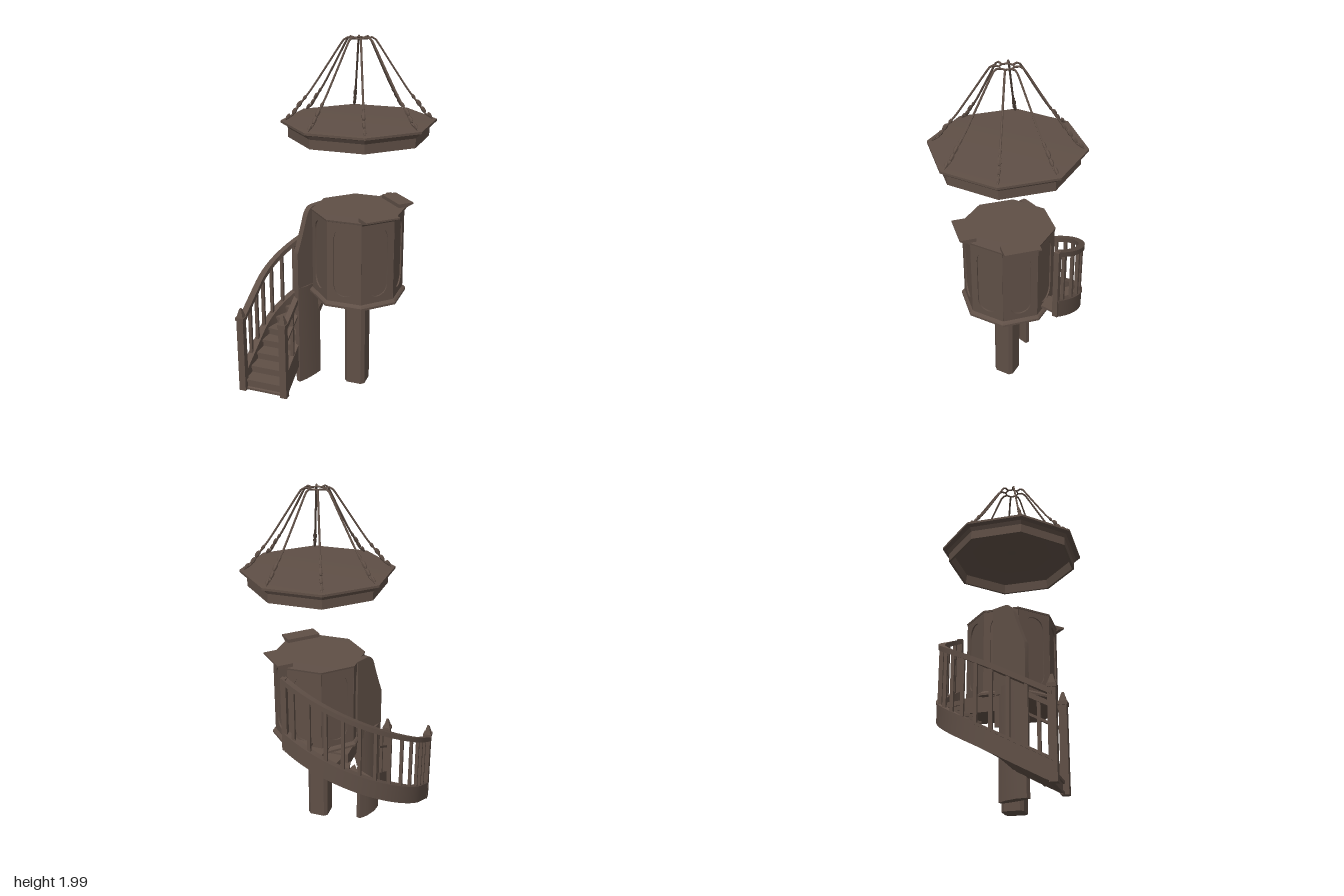
import * as THREE from 'three';
import { toCreasedNormals } from 'three/addons/utils/BufferGeometryUtils.js';

export function createModel() {
  const model = new THREE.Group();
  const wood = new THREE.MeshStandardMaterial({ color: 0x5f4f46 });
  wood.name = 'dark oak';
  const CX = 0.107; // axis of pulpit and canopy

  function add(name, geo, parent = model) {
    const mesh = new THREE.Mesh(toCreasedNormals(geo, 0.5), wood);
    mesh.name = name;
    parent.add(mesh);
    return mesh;
  }
  function box(name, x0, x1, y0, y1, z0, z1) {
    const g = new THREE.BoxGeometry(x1 - x0, y1 - y0, z1 - z0);
    return add(name, g.translate((x0 + x1) / 2, (y0 + y1) / 2, (z0 + z1) / 2));
  }
  const polygon = (points) => new THREE.Shape(points.map((p) => new THREE.Vector2(...p)));
  // Eight-sided turned form; profile gives [distance to flat, y]
  function octagon(name, profile) {
    const pts = profile.map(([a, y]) => new THREE.Vector2(a / Math.cos(Math.PI / 8), y));
    return add(name, new THREE.LatheGeometry(pts, 8, Math.PI / 8).translate(CX, 0, 0));
  }
  // Solid skin through four-cornered cross-sections
  function sweep(name, sections) {
    const pos = [];
    const quad = (a, b, c, d) => [a, b, c, a, c, d].forEach((p) => pos.push(...p));
    for (let i = 0; i < sections.length - 1; i++) {
      const a = sections[i], b = sections[i + 1];
      for (let k = 0; k < 4; k++) quad(a[k], b[k], b[(k + 1) % 4], a[(k + 1) % 4]);
    }
    const s = sections[0], e = sections[sections.length - 1];
    quad(s[0], s[1], s[2], s[3]);
    quad(e[3], e[2], e[1], e[0]);
    const g = new THREE.BufferGeometry();
    g.setAttribute('position', new THREE.Float32BufferAttribute(pos, 3));
    return add(name, g);
  }

  // ---- Canopy ----
  octagon('canopy', [[0, 1.565], [0.3, 1.55], [0.328, 1.535], [0.335, 1.48], [0.348, 1.48], [0.348, 1.53],
    [0.36, 1.55], [0.383, 1.558], [0.383, 1.57], [0.36, 1.572], [0, 1.572]]);
  const crown = new THREE.Group();
  crown.name = 'canopyCrown';
  crown.position.x = CX;
  model.add(crown);
  const ribPath = new THREE.CatmullRomCurve3([[0.39, 1.574], [0.35, 1.6], [0.315, 1.65], [0.25, 1.735],
    [0.16, 1.87], [0.078, 1.992], [0.04, 1.994]].map(([r, y]) => new THREE.Vector3(r, y, 0)), false, 'catmullrom', 0.3);
  for (let i = 0; i < 8; i++) {
    const rib = new THREE.Group();
    rib.name = 'crownRib';
    rib.rotation.y = (i + 0.5) * Math.PI / 4;
    crown.add(rib);
    add('ribBar', new THREE.TubeGeometry(ribPath, 24, 0.0055, 6), rib);
    // carved leaves on the lower part
    [[0.375, 1.59, 0.013], [0.34, 1.62, 0.015], [0.315, 1.655, 0.016], [0.285, 1.69, 0.012]].forEach(([r, y, s]) => {
      const leaf = add('ribLeaf', new THREE.SphereGeometry(s, 6, 5).scale(0.75, 1.4, 0.75), rib);
      leaf.position.set(r, y, 0);
      leaf.rotation.z = 0.6;
    });
  }
  add('crownRing', new THREE.TorusGeometry(0.038, 0.005, 6, 8).rotateX(Math.PI / 2).rotateY(Math.PI / 8).translate(0, 1.994, 0), crown);

  // ---- Pulpit body ----
  octagon('pulpitBody', [[0, 0.57], [0.235, 0.57], [0.252, 0.578], [0.252, 0.59], [0.244, 0.6],
    [0.228, 0.61], [0.228, 1.06], [0.238, 1.065], [0.24, 1.075], [0, 1.078]]);
  const H = 0.097;
  const frame = polygon([[-H, 0.605], [H, 0.605], [H, 1.066], [-H, 1.066]]);
  const arch = new THREE.Path();
  arch.moveTo(-0.06, 0.7);
  arch.quadraticCurveTo(-0.055, 0.645, 0, 0.64);
  arch.quadraticCurveTo(0.055, 0.645, 0.06, 0.7);
  arch.lineTo(0.06, 0.97);
  arch.quadraticCurveTo(0.055, 1.03, 0, 1.035);
  arch.quadraticCurveTo(-0.055, 1.03, -0.06, 0.97);
  arch.closePath();
  frame.holes.push(arch);
  const frameGeo = new THREE.ExtrudeGeometry(frame, { depth: 0.01, bevelEnabled: false, curveSegments: 6 });
  for (let i = 0; i < 8; i++) {
    const side = new THREE.Group();
    side.name = 'pulpitSide';
    side.position.x = CX;
    side.rotation.y = i * Math.PI / 4;
    model.add(side);
    add('panelFrame', frameGeo.clone().translate(0, 0, 0.226), side);
    // book rests on the two right-hand diagonals
    if (i === 1 || i === 3) {
      const rest = polygon([[0.2, 1.07], [0.238, 1.06], [0.25, 1.073], [0.275, 1.083], [0.29, 1.087], [0.29, 1.096], [0.2, 1.096]]);
      add('bookRest', new THREE.ExtrudeGeometry(rest, { depth: 0.2, bevelEnabled: false })
        .rotateY(-Math.PI / 2).translate(0.1, 0, 0), side);
    }
  }

  // ---- Supports ----
  const P = 0.06, Q = 0.042;
  const postShape = polygon([[P, -Q], [P, Q], [Q, P], [-Q, P], [-P, Q], [-P, -Q], [-Q, -P], [Q, -P]]);
  add('post', new THREE.ExtrudeGeometry(postShape, { depth: 0.565, bevelEnabled: false })
    .rotateX(-Math.PI / 2).translate(0.11, 0.01, 0.01));

  // thin wall set diagonally along the inside of the stair; local x runs to the front
  const wall = new THREE.Group();
  wall.name = 'stairWall';
  wall.position.set(-0.135, 0, 0);
  wall.rotation.y = Math.atan2(-0.92, -0.39);
  model.add(wall);
  const pier = polygon([[0, -0.012], [0.05, -0.028], [0.12, -0.03], [0.175, -0.014],
    [0.175, 0.014], [0.12, 0.02], [0.05, 0.018], [0, 0.012]]);
  add('wallPier', new THREE.ExtrudeGeometry(pier, { depth: 0.6, bevelEnabled: false })
    .rotateX(-Math.PI / 2).translate(0, 0.01, 0), wall);
  const wing = new THREE.Shape();
  wing.moveTo(-0.04, 0.57);
  wing.lineTo(0.175, 0.57);
  wing.lineTo(0.175, 0.82);
  wing.quadraticCurveTo(0.14, 0.9, 0.1, 1.02);
  wing.quadraticCurveTo(0.08, 1.075, 0.04, 1.075);
  wing.lineTo(-0.04, 1.075);
  wing.closePath();
  add('wallWing', new THREE.ExtrudeGeometry(wing, { depth: 0.032, bevelEnabled: false, curveSegments: 8 })
    .translate(0, 0, -0.014), wall);

  // beam under the landing, with a curved bracket
  const beam = new THREE.Shape();
  beam.moveTo(-0.14, 0.4);
  beam.lineTo(-0.13, 0.4);
  beam.quadraticCurveTo(-0.125, 0.485, -0.06, 0.49);
  beam.lineTo(0.06, 0.49);
  beam.lineTo(0.06, 0.575);
  beam.lineTo(-0.14, 0.575);
  beam.closePath();
  add('bracketBeam', new THREE.ExtrudeGeometry(beam, { depth: 0.05, bevelEnabled: false }).translate(0, 0, -0.03));
  box('landingBeam', -0.13, 0.06, 0.49, 0.575, -0.2, -0.03);

  // ---- Winding stair: straight start, a quarter turn, then a landing behind the body ----
  const U0 = 0.214, U1 = 0.75;
  function outer(u, inset) {
    const rx = 0.52 - inset, rz = 0.478 - inset;
    if (u < U0) return [0.03 - rx, 0.345 - 0.245 * u / U0];
    const t = (u - U0) / (1 - U0) * 1.88;
    return [0.03 - rx * Math.cos(t), 0.1 - rz * Math.sin(t)];
  }
  const innerBend = new THREE.QuadraticBezierCurve(new THREE.Vector2(-0.205, 0.1),
    new THREE.Vector2(-0.175, -0.05), new THREE.Vector2(-0.13, -0.2));
  function inner(u) {
    if (u < U0) return [-0.205, 0.345 - 0.245 * u / U0];
    if (u < U1) return innerBend.getPoint((u - U0) / (U1 - U0)).toArray();
    return [-0.13 + 0.29 * (u - U1) / (1 - U1), -0.2];
  }
  const railY = (u) => 0.44 + 0.62 * u;
  function strip(name, u1, left, right, below, above, n = 32) {
    const sections = [];
    for (let i = 0; i <= n; i++) {
      const u = u1 * i / n;
      const [ax, az] = left(u), [bx, bz] = right(u);
      const y0 = Math.max(0.01, railY(u) + below), y1 = Math.max(0.015, railY(u) + above);
      sections.push([[ax, y0, az], [bx, y0, bz], [bx, y1, bz], [ax, y1, az]]);
    }
    sweep(name, sections);
  }
  const at = (inset) => (u) => outer(u, inset);
  strip('outerRail', 1, at(0), at(0.036), -0.022, 0.008);
  strip('outerStringer', 1, at(0.004), at(0.034), -0.435, -0.335);
  strip('stringerMoulding', 1, at(0), at(0.04), -0.335, -0.32);
  strip('stairSoffit', 0.95, at(0.03), inner, -0.43, -0.418);
  strip('innerRail', 0.17, at(0.265), at(0.295), -0.022, 0.008, 4);
  strip('innerLowerRail', 0.17, at(0.27), at(0.29), -0.115, -0.1, 4);
  strip('innerStringer', 0.17, at(0.268), at(0.292), -0.43, -0.29, 4);

  function baluster(u, inset, drop) {
    const [x, z] = outer(u, inset);
    const y0 = railY(u) - drop, y1 = railY(u) - 0.015;
    add('baluster', new THREE.BoxGeometry(0.018, y1 - y0, 0.018).translate(x, (y0 + y1) / 2, z));
  }
  for (let i = 1; i < 13; i++) baluster((i + 0.4) / 13, 0.018, 0.325);
  baluster(0.108, 0.28, 0.295);

  // treads with their risers
  const STEPS = 14, du = 0.98 / STEPS;
  for (let i = 0; i < STEPS; i++) {
    const step = (name, u0, u1, y0, y1) => sweep(name, [u0, (u0 + u1) / 2, u1].map((u) => {
      const [ax, az] = outer(u, 0.03), [bx, bz] = inner(u);
      return [[ax, y0, az], [bx, y0, bz], [bx, y1, bz], [ax, y1, az]];
    }));
    const u = i * du, y = Math.min(0.64, 0.075 + 0.0445 * i);
    step('riser', u + 0.008, u + 0.022, Math.max(0.01, y - 0.058), y - 0.012);
    step('tread', u, u + du + 0.014, y - 0.014, y);
  }

  // top post where the rail ends
  const [ex, ez] = outer(1, 0.018);
  box('topPost', ex - 0.015, ex + 0.015, 0.63, 1.065, ez - 0.015, ez + 0.015);

  // newel posts with pointed heads
  [-0.467, -0.212].forEach((x) => {
    box('newelPost', x - 0.02, x + 0.02, 0.01, 0.47, 0.325, 0.365);
    box('newelCollar', x - 0.024, x + 0.024, 0.455, 0.475, 0.321, 0.369);
    add('newelHead', new THREE.CylinderGeometry(0.008, 0.028, 0.05, 4).rotateY(Math.PI / 4).translate(x, 0.5, 0.345));
  });

  return model;
}
